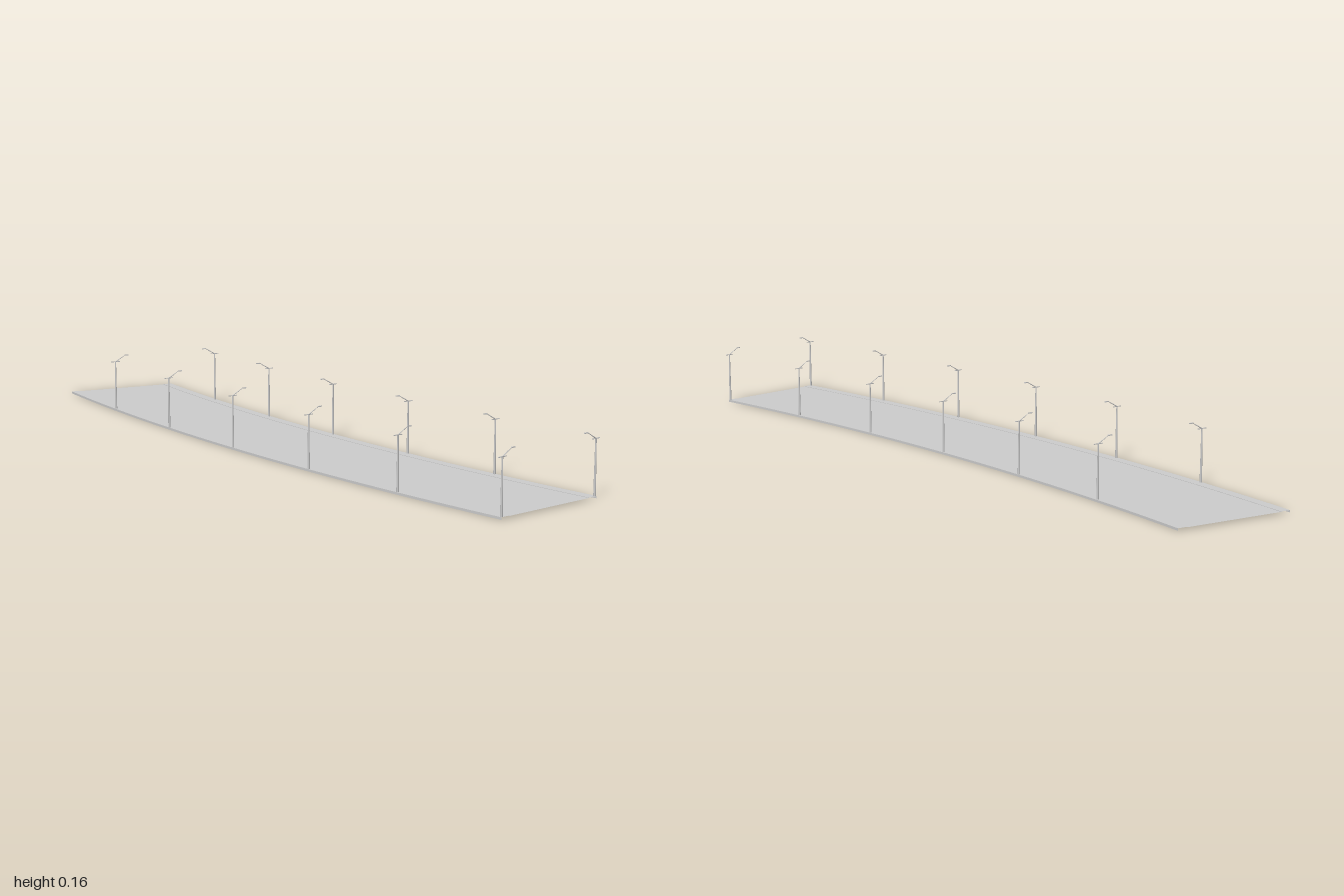
import * as THREE from 'three';

const OUTER = 7.727, INNER = 7.4;         // radii of the road edges
const SWEEP = THREE.MathUtils.degToRad(15);
const WALK = 0.027, TOP = 0.006, ROAD = 0.005;

const material = new THREE.MeshStandardMaterial({ color: 0xcccccc, side: THREE.DoubleSide });

function add(parent, name, geometry) {
  const mesh = new THREE.Mesh(geometry, material);
  mesh.name = name;
  parent.add(mesh);
  return mesh;
}

// Curved strip swept between two profile points [radius, height]
function strip(parent, name, from, to) {
  const points = [new THREE.Vector2(...from), new THREE.Vector2(...to)];
  return add(parent, name, new THREE.LatheGeometry(points, 24, -SWEEP, SWEEP));
}

// Street lamp standing at the origin, its arm reaching towards +z
function createLamp() {
  const lamp = new THREE.Group();
  lamp.name = 'streetLamp';
  add(lamp, 'post', new THREE.CylinderGeometry(0.0018, 0.0032, 0.138, 8)).position.y = TOP + 0.069;
  add(lamp, 'crossbar', new THREE.BoxGeometry(0.002, 0.002, 0.026)).position.y = 0.143;

  // rising arm, thinner towards the head
  const rise = 0.017, reach = 0.03;
  const arm = add(lamp, 'arm', new THREE.CylinderGeometry(0.0008, 0.0015, Math.hypot(rise, reach), 6));
  arm.position.set(0, 0.143 + rise / 2, reach / 2);
  arm.rotation.x = Math.atan2(reach, rise);

  add(lamp, 'lampHead', new THREE.BoxGeometry(0.003, 0.0025, 0.012)).position.set(0, 0.16, 0.035);
  return lamp;
}

export function createModel() {
  const model = new THREE.Group();
  model.name = 'curvedRoad';

  // Everything is laid out around the centre of the curve
  const curve = new THREE.Group();
  curve.name = 'curve';
  curve.position.set(1, 0, 0.285 - OUTER);
  model.add(curve);

  // Road deck with raised pavements, open underneath
  const profile = [
    [OUTER, 0], [OUTER, TOP], [OUTER - WALK, TOP], [OUTER - WALK, ROAD],
    [INNER + WALK, ROAD], [INNER + WALK, TOP], [INNER, TOP], [INNER, 0],
  ];
  const names = ['frontWall', 'frontPavement', 'frontKerb', 'roadway', 'backKerb', 'backPavement', 'backWall'];
  names.forEach((name, i) => strip(curve, name, profile[i], profile[i + 1]));

  // Six pairs of lamps facing each other across the road
  for (let i = 0; i < 6; i++) {
    const spoke = new THREE.Group();
    spoke.name = 'lampPair';
    spoke.rotation.y = -(i * SWEEP) / 6 - 0.0004;
    const front = createLamp();
    front.position.z = OUTER - 0.003;
    front.rotation.y = Math.PI;
    const back = createLamp();
    back.position.z = INNER + 0.004;
    spoke.add(front, back);
    curve.add(spoke);
  }
  return model;
}
